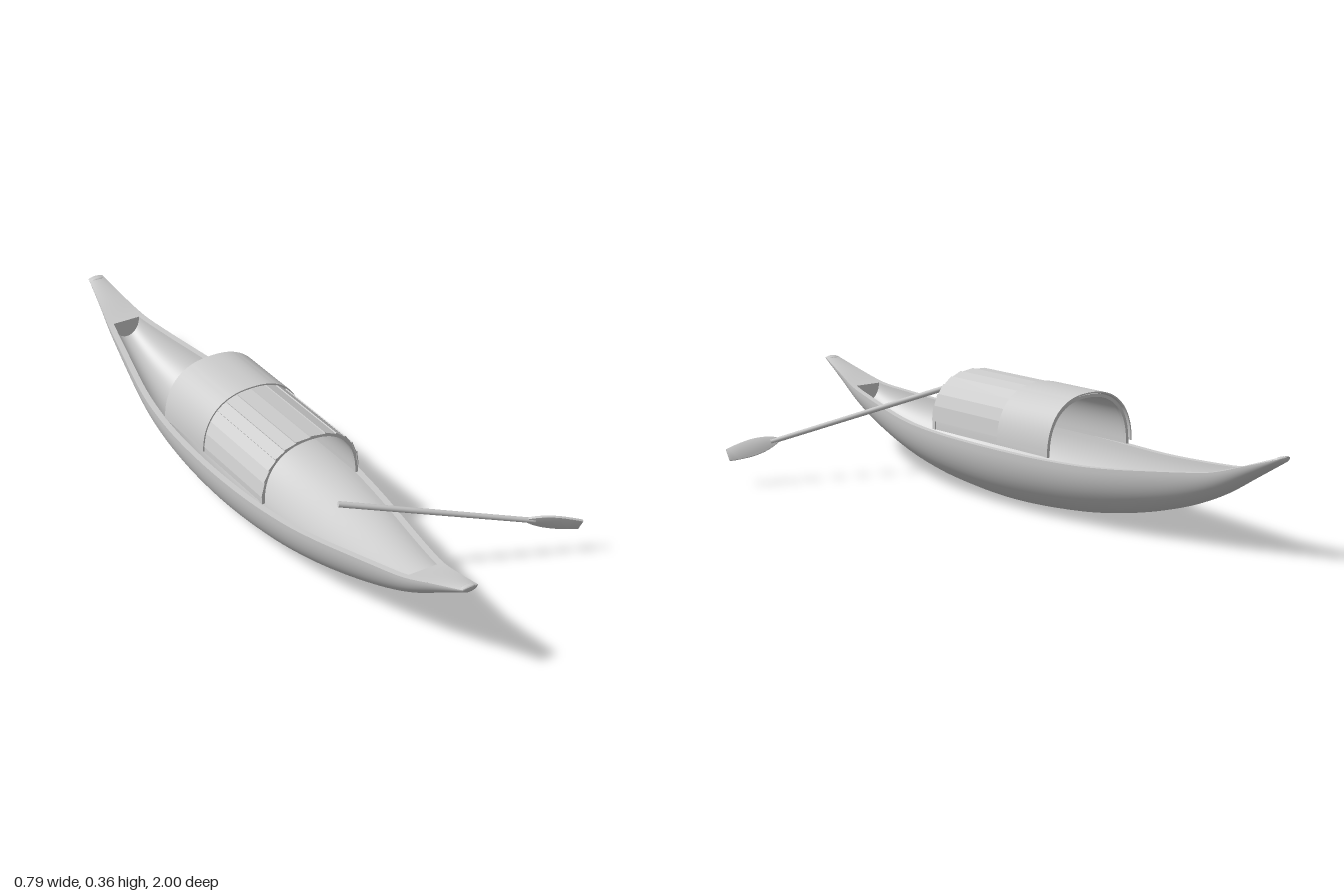
import * as THREE from 'three';
import { toCreasedNormals } from 'three/addons/utils/BufferGeometryUtils.js';

const material = new THREE.MeshStandardMaterial({ color: 0xcccccc, side: THREE.DoubleSide });

function addMesh(parent, geometry, name) {
  const mesh = new THREE.Mesh(geometry, material);
  mesh.name = name;
  parent.add(mesh);
  return mesh;
}

// Skin a list of equally long rows of points.
function loft(rows) {
  const n = rows[0].length, index = [];
  for (let i = 0; i < rows.length - 1; i++) {
    for (let j = 0; j < n - 1; j++) {
      const a = i * n + j, b = a + n;
      index.push(a, a + 1, b, b, a + 1, b + 1);
    }
  }
  const geometry = new THREE.BufferGeometry().setFromPoints(rows.flat());
  geometry.setIndex(index);
  geometry.computeVertexNormals();
  return geometry;
}

// Half width, sheer height and keel height every 0.1 from midship to the tip.
const stations = [
  [0.185, 0.185, 0], [0.183, 0.185, 0.003], [0.177, 0.185, 0.01], [0.166, 0.186, 0.02],
  [0.151, 0.189, 0.036], [0.131, 0.196, 0.057], [0.108, 0.206, 0.084], [0.085, 0.217, 0.118],
  [0.063, 0.231, 0.163], [0.042, 0.262, 0.222], [0.024, 0.295, 0.282],
].map(p => new THREE.Vector3(...p));
const lines = new THREE.CatmullRomCurve3([...stations.slice(1).reverse(), ...stations], false, 'catmullrom', 0.5);
const hullAt = z => lines.getPoint((z + 1) / 2);
const range = (a, b, n) => Array.from({ length: n + 1 }, (_, i) => a + (b - a) * i / n);

// Half-ellipse section of the hull; inset gives the inner skin.
function section(z, inset = 0, floor = 0, shrink = 1) {
  const s = hullAt(z);
  const w = (s.x - inset) * shrink, depth = (s.y - s.z - floor) * shrink;
  return range(0, Math.PI, 32).map(t =>
    new THREE.Vector3(-Math.cos(t) * w, s.y - Math.sin(t) * depth, z));
}

function buildHull() {
  const hull = new THREE.Group();
  hull.name = 'hull';
  const rim = 0.019, end = 0.8;
  addMesh(hull, loft([
    section(-1, 0, 0, 0), ...range(-1, 1, 80).map(z => section(z)), section(1, 0, 0, 0),
  ]), 'outerHull');
  addMesh(hull, loft(range(-end, end, 64).map(z => section(z, rim, 0.013))), 'innerHull');

  for (const side of [-1, 1]) {
    // Gunwale along one side.
    addMesh(hull, loft(range(-end, end, 64).map(z => {
      const s = hullAt(z);
      return [s.x, s.x - rim].map(x => new THREE.Vector3(side * x, s.y, z));
    })), 'gunwale');
    // Sloping end deck, slightly crowned towards the tip.
    addMesh(hull, loft(range(end, 1, 12).map(z => {
      const s = hullAt(z), crown = 0.005 * (z - end) / (1 - end);
      return range(-1, 1, 10).map(u =>
        new THREE.Vector3(u * s.x, s.y + crown * (1 - u * u), side * z));
    })), 'endDeck');
    // Wall that closes the cockpit below the deck.
    addMesh(hull, loft([section(side * end, rim, 0.013), section(side * end, rim, 0.013, 0)]), 'bulkhead');
    // Rounded nose at the tip.
    const nose = addMesh(hull, new THREE.SphereGeometry(1, 16, 10), 'tip');
    nose.scale.set(0.022, 0.007, 0.009);
    nose.position.set(0, 0.291, side * 0.991);
  }
  return hull;
}

// Point on the canopy arch, grown outward by a given amount.
function archPoint(t, grow = 0) {
  const c = Math.cos(t), s = Math.max(0, Math.sin(t)), p = 2 / 2.35;
  return new THREE.Vector2(
    Math.sign(c) * Math.abs(c) ** p * (0.152 + grow),
    0.19 + s ** p * (0.159 + grow));
}

function archShell(inner, outer, start, end, depth) {
  const angles = range(start, end, 48);
  const shape = new THREE.Shape([
    ...angles.map(t => archPoint(t, outer)),
    ...angles.reverse().map(t => archPoint(t, inner)),
  ]);
  return toCreasedNormals(new THREE.ExtrudeGeometry(shape, { depth, bevelEnabled: false }), 0.5);
}

function buildCanopy() {
  const canopy = new THREE.Group();
  canopy.name = 'canopy';
  addMesh(canopy, archShell(-0.003, 0.001, 0, Math.PI, 0.51), 'canopyLining').position.z = -0.25;
  // Hoops at both mouths.
  for (const z of [-0.255, 0.253]) {
    addMesh(canopy, archShell(-0.005, 0.004, 0, Math.PI, 0.012), 'hoop').position.z = z;
  }
  // Rear cover, overlapping the slats.
  addMesh(canopy, archShell(0.007, 0.011, 0.04, Math.PI - 0.04, 0.22), 'rearCover').position.z = -0.262;
  // Overlapping slats over the front half.
  const count = 12, step = (Math.PI - 0.24) / count;
  for (let i = 0; i < count; i++) {
    const a = archPoint(0.12 + i * step, 0.003), b = archPoint(0.12 + (i + 1) * step, 0.006);
    const slat = addMesh(canopy, new THREE.BoxGeometry(a.distanceTo(b) + 0.004, 0.003, 0.31), 'slat');
    slat.position.set((a.x + b.x) / 2, (a.y + b.y) / 2, 0.113);
    slat.rotation.z = Math.atan2(b.y - a.y, b.x - a.x);
  }
  return canopy;
}

function buildOar() {
  const oar = new THREE.Group();
  oar.name = 'oar';
  const start = new THREE.Vector3(-0.25, 0.26, 0.465), tip = new THREE.Vector3(0.39, 0.098, 0.7);
  const length = start.distanceTo(tip), blade = 0.155;
  const shaft = addMesh(oar, new THREE.CylinderGeometry(0.0075, 0.0085, length - blade + 0.02, 16), 'oarShaft');
  shaft.rotation.z = -Math.PI / 2;
  shaft.position.x = (length - blade + 0.02) / 2;

  // Paddle blade, widest past its middle with a square end.
  const shape = new THREE.Shape();
  shape.moveTo(0, -0.007);
  shape.bezierCurveTo(0.025, -0.02, 0.06, -0.025, 0.09, -0.024);
  shape.quadraticCurveTo(0.13, -0.022, blade, -0.017);
  shape.lineTo(blade, 0.017);
  shape.quadraticCurveTo(0.13, 0.022, 0.09, 0.024);
  shape.bezierCurveTo(0.06, 0.025, 0.025, 0.02, 0, 0.007);
  const geometry = new THREE.ExtrudeGeometry(shape, {
    depth: 0.004, bevelThickness: 0.002, bevelSize: 0.002, bevelSegments: 2,
  });
  addMesh(oar, toCreasedNormals(geometry, 0.6), 'oarBlade').position.set(length - blade, 0, -0.002);

  // Lay the oar from the cockpit out over the side.
  const along = tip.clone().sub(start).normalize();
  const across = new THREE.Vector3(0, 1, 0.45);
  across.addScaledVector(along, -across.dot(along)).normalize();
  const normal = along.clone().cross(across);
  oar.quaternion.setFromRotationMatrix(new THREE.Matrix4().makeBasis(along, across, normal));
  oar.position.copy(start);
  return oar;
}

export function createModel() {
  const model = new THREE.Group();
  model.name = 'rowingBoat';
  const boat = new THREE.Group();
  boat.name = 'boat';
  boat.position.x = -0.21;
  boat.add(buildHull(), buildCanopy());
  model.add(boat, buildOar());
  return model;
}
